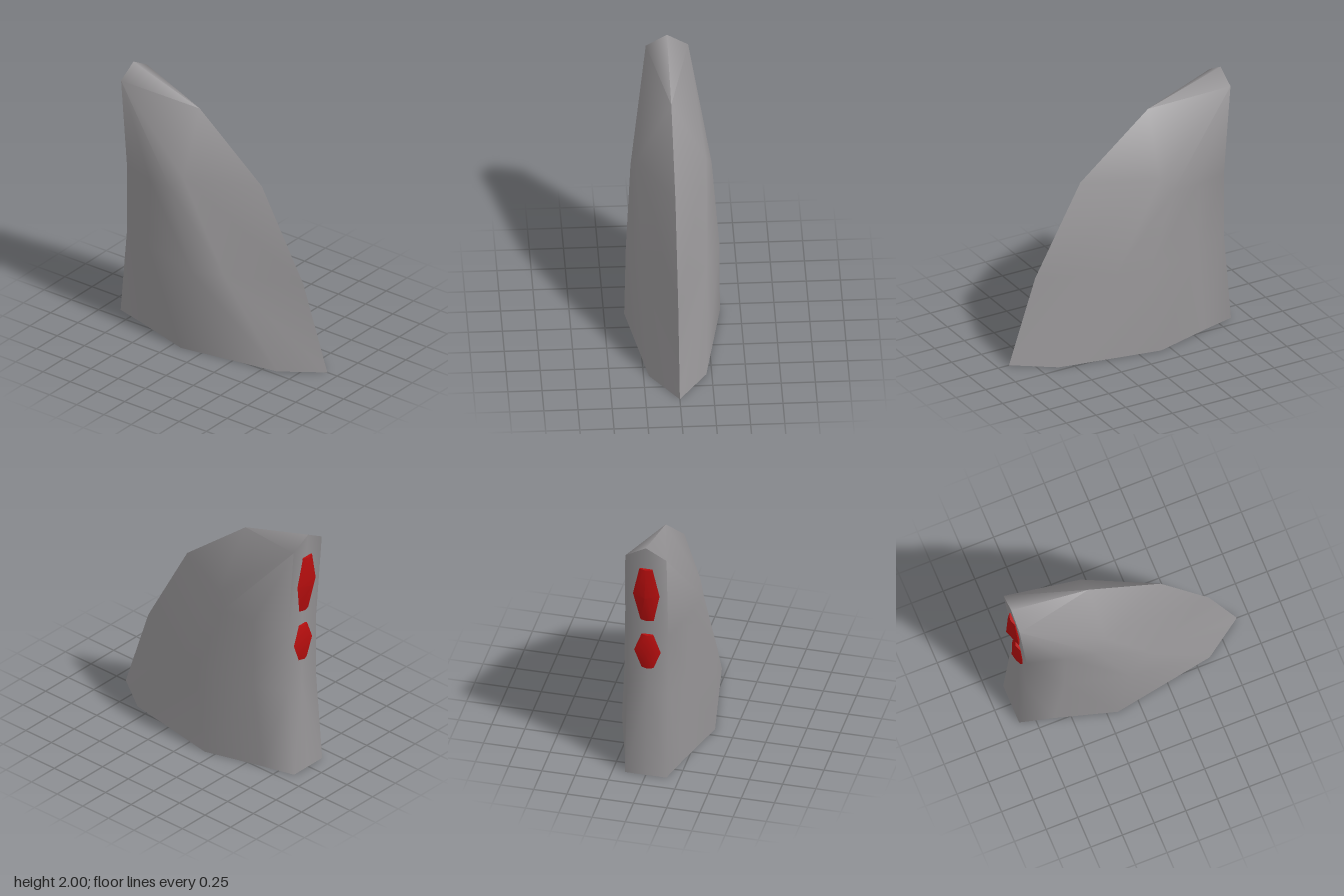
import * as THREE from 'three';
import { toCreasedNormals } from 'three/addons/utils/BufferGeometryUtils.js';

// Closes a half ring (front centre -> +x side -> back centre) by mirroring it in x.
function mirrorRing(half) {
  const other = half.slice(1, -1).reverse().map(([x, y, z]) => [-x, y, z]);
  return [...half, ...other];
}

// Skins rings of equal length from bottom to top and caps both ends.
function loft(rings, crease) {
  const pos = [];
  const same = (a, b) => a.every((v, k) => Math.abs(v - b[k]) < 1e-6);
  const tri = (a, b, c) => {
    if (!same(a, b) && !same(b, c) && !same(a, c)) pos.push(...a, ...b, ...c);
  };
  const n = rings[0].length;
  for (let r = 0; r < rings.length - 1; r++) {
    for (let i = 0; i < n; i++) {
      const j = (i + 1) % n;
      const a = rings[r][i], b = rings[r][j], c = rings[r + 1][j], d = rings[r + 1][i];
      // diagonals are mirrored between the two sides
      if (i < n / 2) { tri(a, b, c); tri(a, c, d); }
      else { tri(a, b, d); tri(b, c, d); }
    }
  }
  const bottom = rings[0], top = rings[rings.length - 1];
  for (let i = 1; i < n - 1; i++) {
    tri(bottom[0], bottom[i + 1], bottom[i]);
    tri(top[0], top[i], top[i + 1]);
  }
  const geo = new THREE.BufferGeometry();
  geo.setAttribute('position', new THREE.Float32BufferAttribute(pos, 3));
  return toCreasedNormals(geo, crease);
}

export function createModel() {
  const model = new THREE.Group();
  model.name = 'fin';

  const grey = new THREE.MeshStandardMaterial({ color: 0x969496 });
  grey.name = 'fin grey';
  const red = new THREE.MeshStandardMaterial({ color: 0xb80e0e });
  red.name = 'lamp red';

  const add = (name, geo, mat) => {
    const mesh = new THREE.Mesh(geo, mat);
    mesh.name = name;
    model.add(mesh);
  };

  // Fin body: leading edge, front flank, widest line, rear flank, back corner, back centre
  const peak = [0, 1.81, -0.26], corner = [0.155, 1.91, -0.866];
  const halves = [
    [[0, 0, 0.91], [0.21, 0, 0.61], [0.35, 0, -0.17], [0.22, 0, -0.62], [0.155, 0, -0.87], [0, 0, -0.87]],
    [[0, 0.66, 0.69], [0.24, 0.66, 0.14], [0.343, 0.66, -0.08], [0.24, 0.68, -0.55], [0.155, 0.7, -0.81], [0, 0.7, -0.81]],
    [[0, 1.35, 0.31], [0.25, 1.35, -0.22], [0.297, 1.25, -0.3], [0.235, 1.22, -0.54], [0.155, 1.2, -0.81], [0, 1.2, -0.81]],
    [peak, peak, corner, corner, corner, [0, 2, -0.87]],
  ];
  add('finBody', loft(halves.map(mirrorRing), THREE.MathUtils.degToRad(80)), grey);

  // Faceted lamps on the back; levels are [y, half width, side z, ridge z]
  const lamp = (name, levels) => {
    const rings = levels.map(([y, w, side, ridge]) =>
      mirrorRing([[0, y, -0.78], [w, y, side], [0, y, ridge]]));
    add(name, loft(rings, THREE.MathUtils.degToRad(60)), red);
  };
  lamp('upperLamp', [[1.34, 0.05, -0.828, -0.845], [1.58, 0.1, -0.855, -0.91], [1.81, 0.05, -0.864, -0.88]]);
  lamp('lowerLamp', [[0.915, 0.045, -0.818, -0.836], [1.06, 0.1, -0.82, -0.866], [1.205, 0.045, -0.818, -0.836]]);

  return model;
}
